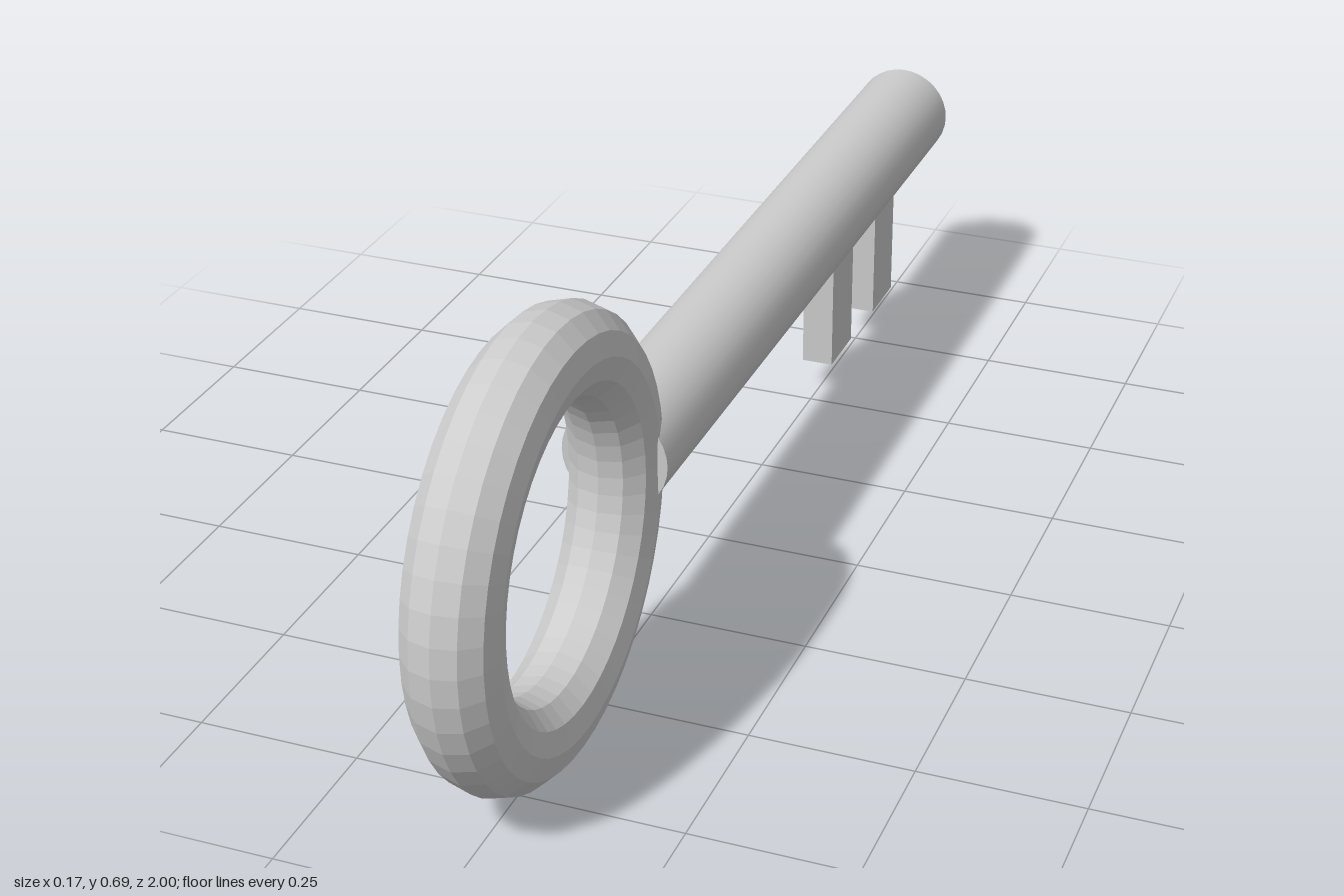
import * as THREE from 'three';

export function createModel() {
  const key = new THREE.Group();
  key.name = 'key';
  const axisY = 0.348;
  const smooth = new THREE.MeshStandardMaterial({ color: 0xcccccc });
  const flat = new THREE.MeshStandardMaterial({ color: 0xcccccc, flatShading: true });

  const add = (name, geometry, material, y, z) => {
    const mesh = new THREE.Mesh(geometry, material);
    mesh.name = name;
    mesh.position.set(0, y, z);
    key.add(mesh);
    return mesh;
  };

  // Ring handle, standing in the y-z plane
  const ring = add('bow', new THREE.TorusGeometry(0.277, 0.069, 12, 48), flat, axisY, 0.654);
  ring.rotation.y = Math.PI / 2;

  // Round shaft, its front end set into the ring
  const front = 0.385, back = -1;
  const shaft = add('shaft', new THREE.CylinderGeometry(0.0825, 0.0825, front - back, 32),
    smooth, axisY, (front + back) / 2);
  shaft.rotation.x = Math.PI / 2;

  // Two teeth hanging below the shaft: [z centre, z depth, bottom y]
  const teeth = [[-0.586, 0.107, 0.058], [-0.819, 0.108, 0.053]];
  const top = 0.3;
  teeth.forEach(([z, depth, bottom], i) => {
    add(`tooth${i + 1}`, new THREE.BoxGeometry(0.053, top - bottom, depth),
      flat, (top + bottom) / 2, z);
  });

  return key;
}
